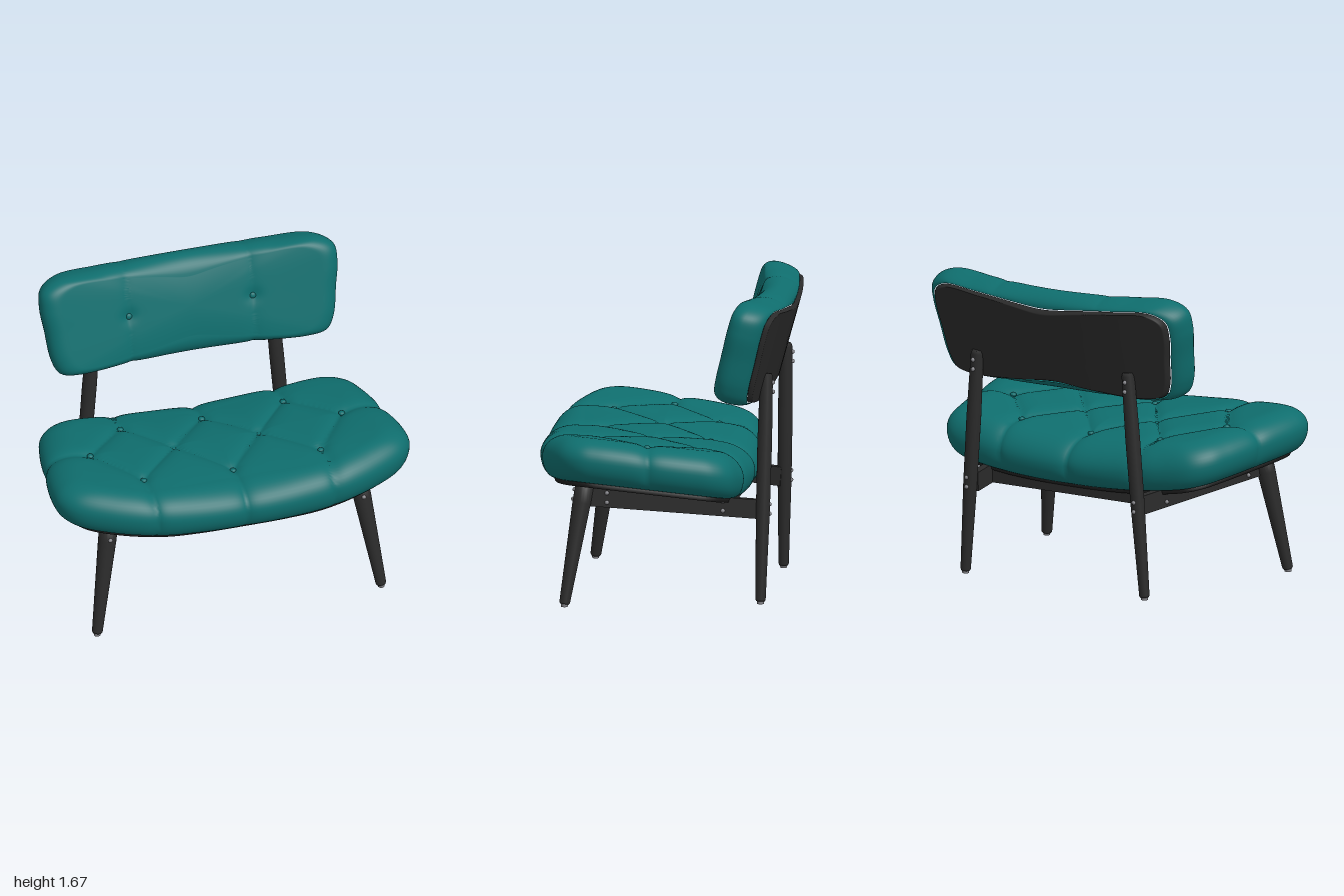
import * as THREE from 'three';
import { mergeVertices } from 'three/addons/utils/BufferGeometryUtils.js';

const mat = (name, color) => Object.assign(new THREE.MeshStandardMaterial({ color }), { name });
const V = (x, y, z) => new THREE.Vector3(x, y, z);

// Closed smooth outline from its right half, listed bottom to top
function outline(half, n) {
  const left = half.slice(1, -1).reverse().map(([x, y]) => [-x, y]);
  const curve = new THREE.CatmullRomCurve3([...half, ...left].map(([x, y]) => V(x, y, 0)), true);
  curve.arcLengthDivisions = 2000;
  return curve.getSpacedPoints(n).slice(0, n);
}

function segmentDistance(x, y, [ax, ay, bx, by]) {
  const dx = bx - ax, dy = by - ay;
  const t = THREE.MathUtils.clamp(((x - ax) * dx + (y - ay) * dy) / (dx * dx + dy * dy), 0, 1);
  return Math.hypot(x - ax - t * dx, y - ay - t * dy);
}

// Rings of an outline; each section is { f: fraction from centre, inset, h, nh, ni }
// where nh and ni say how far a seam sinks the height and the rim there
function loft(points, centre, sections, place, dent = () => 0) {
  const n = points.length, pos = [], index = [];
  sections.forEach(({ f, inset, h, nh = 0, ni = 0 }, i) => {
    points.forEach((p, j) => {
      const dx = p.x - centre[0], dy = p.y - centre[1], len = Math.hypot(dx, dy);
      let r = (len - inset) * f / len;
      const d = f === 0 ? 0 : dent(centre[0] + dx * r, centre[1] + dy * r);
      r -= d * ni / len;
      pos.push(...place(centre[0] + dx * r, centre[1] + dy * r, h - d * nh));
      if (i === 0) return;
      const k = (j + 1) % n, a = (i - 1) * n, b = i * n;
      index.push(a + j, b + j, b + k, a + j, b + k, a + k);
    });
  });
  const geo = new THREE.BufferGeometry();
  geo.setAttribute('position', new THREE.Float32BufferAttribute(pos, 3));
  geo.setIndex(index);
  const merged = mergeVertices(geo, 1e-5);
  merged.computeVertexNormals();
  return merged;
}

// Domed face, rounded shoulder and tucked-in lower rim
function cushionSections(rimH, faceH, dome, shoulder, lowH, tuck) {
  const s = [];
  for (let i = 0; i < 44; i++) {
    const f = i / 44;
    s.push({ f, inset: shoulder, h: faceH + dome * (1 - f * f), nh: 1 });
  }
  for (let i = 0; i <= 12; i++) {
    const a = i / 12 * Math.PI / 2;
    s.push({ f: 1, inset: shoulder * (1 - Math.sin(a)), h: rimH + (faceH - rimH) * Math.cos(a), nh: Math.cos(a), ni: Math.sin(a) });
  }
  for (let i = 1; i <= 8; i++) {
    const b = i / 8 * Math.PI / 2;
    s.push({ f: 1, inset: tuck * (1 - Math.cos(b)), h: rimH + (lowH - rimH) * Math.sin(b), ni: Math.cos(b) });
  }
  return s;
}

// Thin shell board closing the underside of a cushion
function boardSections(top, bottom, inset) {
  const s = [{ f: 1, inset: inset + 0.03, h: top + 0.01 }, { f: 1, inset, h: top }, { f: 1, inset, h: top },
    { f: 1, inset: inset + 0.015, h: bottom }];
  for (let i = 8; i >= 0; i--) s.push({ f: i / 8, inset: inset + 0.025, h: bottom });
  return s;
}

export function createModel() {
  const fabric = mat('teal upholstery', 0x0f6e6e);
  const wood = mat('dark wood', 0x2b2b2b);
  const under = mat('black underside', 0x1c1c1c);
  const panelMat = mat('dust cover', 0x4a423e);
  const metal = mat('bolt metal', 0x85858a);
  const model = new THREE.Group();
  const add = (name, geo, m, pos) => {
    const mesh = new THREE.Mesh(geo, m);
    mesh.name = name;
    if (pos) mesh.position.copy(pos);
    model.add(mesh);
    return mesh;
  };

  // Seat: plan outline in (x, -z), on a gently dished and tilted base
  const seatBase = (x, z) => 0.58 + 0.1 * x * x + 0.1 * z;
  const seatPlace = (x, q, h) => [x, seatBase(x, -q) + h, -q];
  const seatHalf = [[0, -0.685], [0.28, -0.68], [0.52, -0.66], [0.76, -0.59], [0.93, -0.5], [0.99, -0.41], [1, -0.3],
    [0.965, -0.03], [0.92, 0.2], [0.88, 0.32], [0.8, 0.4], [0.6, 0.44], [0.3, 0.46], [0, 0.465]];
  const seatButtons = [[0, -0.21], [0.24, 0.07], [0.46, -0.21], [0.71, 0.06], [0.5, 0.37], [0, 0.385]];
  const halfSeams = [
    [0, -0.21, 0, -0.6], [0.46, -0.21, 0.46, -0.6], [0.71, 0.06, 1.1, 0.02], [0.5, 0.37, 0.52, 0.8], [0, 0.385, 0, 0.8],
    [0, -0.21, 0.24, 0.07], [0.46, -0.21, 0.24, 0.07], [0.46, -0.21, 0.71, 0.06],
    [0.24, 0.07, 0, 0.385], [0.24, 0.07, 0.5, 0.37], [0.71, 0.06, 0.5, 0.37]];
  const seatDent = (x, q) => {
    const ax = Math.abs(x);
    const d = Math.min(...halfSeams.map(s => segmentDistance(ax, -q, s)));
    const b = Math.min(...seatButtons.map(p => Math.hypot(ax - p[0], -q - p[1])));
    return 0.024 * Math.exp(-d / 0.04) + 0.012 * Math.exp(-((b / 0.04) ** 2));
  };
  const seatLine = outline(seatHalf, 320), seatCentre = [0, -0.1];
  add('seatCushion', loft(seatLine, seatCentre, cushionSections(0.11, 0.25, 0.022, 0.2, 0, 0.08), seatPlace, seatDent), fabric);
  add('seatBoard', loft(seatLine, seatCentre, boardSections(0, -0.025, 0.085), seatPlace), under);

  // Dust cover bent to the underside
  const cover = new THREE.BoxGeometry(0.84, 0.008, 0.36, 12, 1, 2);
  const cp = cover.attributes.position;
  for (let i = 0; i < cp.count; i++) cp.setY(i, cp.getY(i) + seatBase(cp.getX(i), cp.getZ(i)) - 0.028);
  cover.computeVertexNormals();
  add('dustCover', cover, panelMat);

  // Backrest: outline in (x, up), curved around the sitter and leaning back
  const lean = 0.27, sin = Math.sin(lean), cos = Math.cos(lean);
  const backPlace = (x, v, w) => [x, 1.375 + v * cos + w * sin, -0.52 + 0.13 * x * x - v * sin + w * cos];
  const backHalf = [[0, -0.29], [0.35, -0.288], [0.66, -0.28], [0.755, -0.25], [0.795, -0.17], [0.82, 0], [0.838, 0.14],
    [0.825, 0.235], [0.74, 0.285], [0.5, 0.282], [0.25, 0.276], [0, 0.275]];
  const backDent = (x, v) => {
    const d = Math.abs(Math.abs(x) - 0.35);
    return 0.012 * Math.exp(-d / 0.04) + 0.012 * Math.exp(-((Math.hypot(d, v) / 0.04) ** 2));
  };
  const backLine = outline(backHalf, 320);
  add('backCushion', loft(backLine, [0, 0], cushionSections(0.01, 0.105, 0.015, 0.11, -0.09, 0.06), backPlace, backDent), fabric);
  add('backBoard', loft(backLine, [0, 0], boardSections(-0.09, -0.113, 0.065), backPlace), wood);

  // Upholstery buttons
  const dome = new THREE.SphereGeometry(0.018, 14, 10);
  for (const side of [-1, 1]) {
    for (const [x, z] of seatButtons) {
      if (x === 0 && side < 0) continue;
      add('seatButton', dome, fabric, V(side * x, seatBase(x, z) + 0.23, z)).scale.y = 0.65;
    }
    const button = add('backButton', dome, fabric, V(...backPlace(side * 0.35, 0, 0.094)));
    button.scale.z = 0.65;
    button.rotation.x = -lean;
  }

  // Frame helpers
  const up = V(0, 1, 0);
  const leg = (name, foot, top, profile) => {
    const axis = top.clone().sub(foot), len = axis.length();
    const pts = profile.map(([r, t]) => new THREE.Vector2(r, t * len));
    const mesh = add(name, new THREE.LatheGeometry(pts, 20), wood, foot);
    mesh.quaternion.setFromUnitVectors(up, axis.normalize());
  };
  const beam = (name, a, b, height, thick) => {
    const mesh = add(name, new THREE.BoxGeometry(thick, height, a.distanceTo(b)), wood, a.clone().lerp(b, 0.5));
    mesh.lookAt(b);
  };
  const boltGeo = new THREE.SphereGeometry(0.012, 10, 8);
  const bolt = (x, y, z) => add('bolt', boltGeo, metal, V(x, y, z));
  const glideGeo = new THREE.CylinderGeometry(0.02, 0.018, 0.02, 14);

  for (const s of [-1, 1]) {
    // Splayed front legs and tall back legs
    leg('frontLeg', V(s * 0.802, 0.015, 0.5), V(s * 0.705, 0.655, 0.4),
      [[0, 0], [0.024, 0], [0.029, 0.012], [0.05, 0.85], [0.05, 1], [0, 1]]);
    leg('backLeg', V(s * 0.595, 0.015, -0.545), V(s * 0.5, 1.25, -0.568),
      [[0, 0], [0.024, 0], [0.028, 0.008], [0.038, 0.4], [0.04, 0.7], [0.035, 0.985], [0.028, 1], [0, 1]]);
    add('frontGlide', glideGeo, metal, V(s * 0.802, 0.01, 0.5));
    add('backGlide', glideGeo, metal, V(s * 0.595, 0.01, -0.545));

    // Side rails with their bolts
    beam('sideRail', V(s * 0.69, 0.592, 0.39), V(s * 0.54, 0.511, -0.54), 0.104, 0.045);
    for (const dy of [-0.026, 0.026]) {
      bolt(s * 0.698, 0.584 + dy, 0.28);
      bolt(s * 0.597, 0.533 + dy, -0.34);
      bolt(s * 0.716, 0.605 + dy, 0.457 - dy * 0.15);
      bolt(s * 0.556, 0.515 + dy, -0.59);
      bolt(s * 0.505, 1.175 + dy, -0.603);
    }
  }

  // Cross rails
  beam('frontCrossRail', V(-0.67, 0.583, 0.28), V(0.67, 0.583, 0.28), 0.1, 0.045);
  beam('backCrossRail', V(-0.57, 0.525, -0.34), V(0.57, 0.525, -0.34), 0.1, 0.045);
  return model;
}
